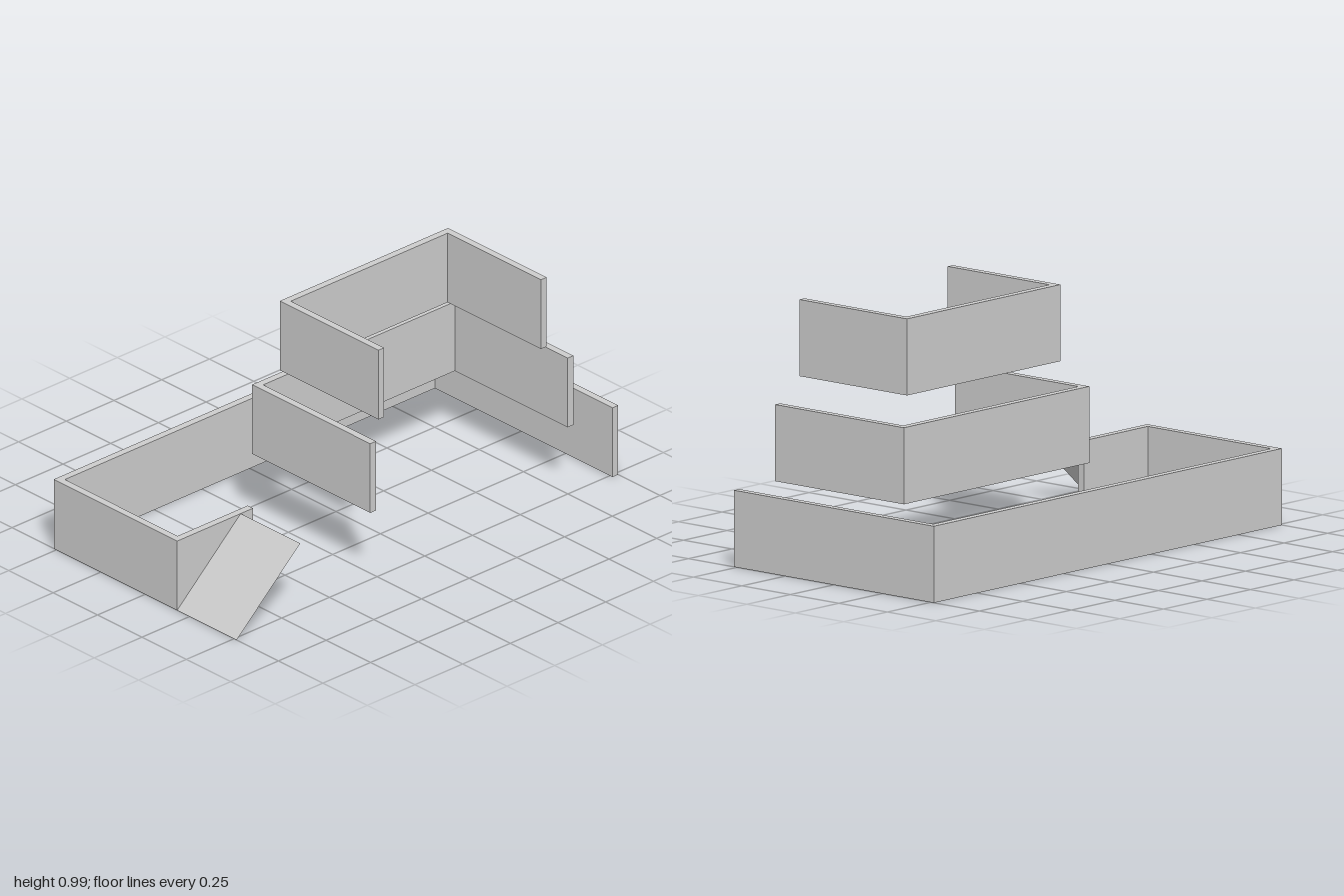
import * as THREE from 'three';

const T = 0.03;       // wall thickness
const FRONT = 0.515;  // z of the open front
const H = 0.3;        // height of each storey

const material = new THREE.MeshStandardMaterial({ color: 0xcccccc, flatShading: true });
const sheetMaterial = new THREE.MeshStandardMaterial({
  color: 0xcccccc, flatShading: true, side: THREE.DoubleSide,
});

// Raises a floor-plan outline of [x, z] corners into a wall
function wall(name, plan, y, height = H) {
  const shape = new THREE.Shape(plan.map(([x, z]) => new THREE.Vector2(x, -z)));
  const geometry = new THREE.ExtrudeGeometry(shape, { depth: height, bevelEnabled: false });
  geometry.rotateX(-Math.PI / 2);
  const mesh = new THREE.Mesh(geometry, material);
  mesh.name = name;
  mesh.position.y = y;
  return mesh;
}

// U-shaped plan, open towards the front
function uPlan(x0, x1, back) {
  return [
    [x0, FRONT], [x0, back], [x1, back], [x1, FRONT],
    [x1 - T, FRONT], [x1 - T, back + T], [x0 + T, back + T], [x0 + T, FRONT],
  ];
}

export function createModel() {
  const group = new THREE.Group();
  group.name = 'terracedWalls';

  // Lowest wall: the right arm stops short and turns inwards
  group.add(wall('lowerWall', [
    [-1, 0.18], [-1, -FRONT], [1, -FRONT], [1, FRONT],
    [1 - T, FRONT], [1 - T, -FRONT + T], [-1 + T, -FRONT + T],
    [-1 + T, 0.15], [-0.603, 0.15], [-0.603, 0.18],
  ], 0));

  // Upper storeys
  group.add(wall('middleWall', uPlan(-0.3, 0.765, -0.15), H));
  group.add(wall('upperWall', uPlan(-0.257, 0.625, -0.04), 0.69));

  // Thin ramp rising from the right side towards the middle
  const run = 0.333, width = FRONT - 0.18;
  const geometry = new THREE.PlaneGeometry(Math.hypot(run, H), width);
  geometry.rotateX(-Math.PI / 2);
  const ramp = new THREE.Mesh(geometry, sheetMaterial);
  ramp.name = 'ramp';
  ramp.rotation.z = Math.atan2(H, run);
  ramp.position.set(-1 + run / 2, H / 2, FRONT - width / 2);
  group.add(ramp);

  return group;
}
